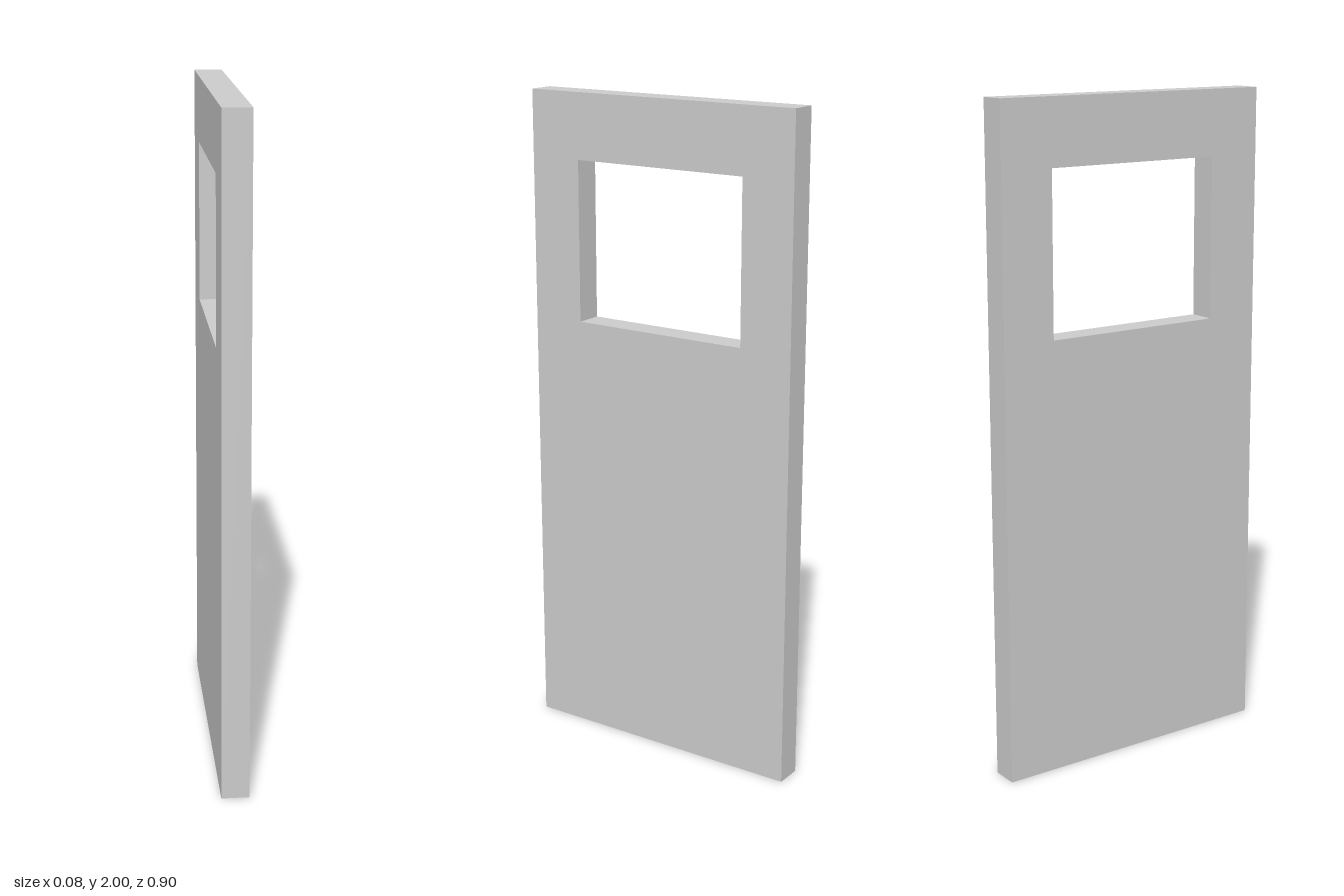
import * as THREE from 'three';

const HEIGHT = 2, WIDTH = 0.896, THICKNESS = 0.083;
const WINDOW = { halfWidth: 0.283, bottom: 1.319, top: 1.804 };

// Adds a closed rectangle to a shape or path
function rectangle(path, halfWidth, bottom, top) {
  path.moveTo(-halfWidth, bottom);
  path.lineTo(halfWidth, bottom);
  path.lineTo(halfWidth, top);
  path.lineTo(-halfWidth, top);
  path.closePath();
  return path;
}

export function createModel() {
  const group = new THREE.Group();
  group.name = 'door';

  // Door slab with a rectangular window opening
  const outline = rectangle(new THREE.Shape(), WIDTH / 2, 0, HEIGHT);
  outline.holes.push(rectangle(new THREE.Path(), WINDOW.halfWidth, WINDOW.bottom, WINDOW.top));
  const geometry = new THREE.ExtrudeGeometry(outline, { depth: THICKNESS, bevelEnabled: false });

  // Centre the thickness, then turn the broad faces towards +x and -x
  geometry.translate(0, 0, -THICKNESS / 2);
  geometry.rotateY(Math.PI / 2);

  const panel = new THREE.Mesh(
    geometry,
    new THREE.MeshStandardMaterial({ color: 0xcccccc, flatShading: true })
  );
  panel.name = 'doorPanel';
  group.add(panel);
  return group;
}
